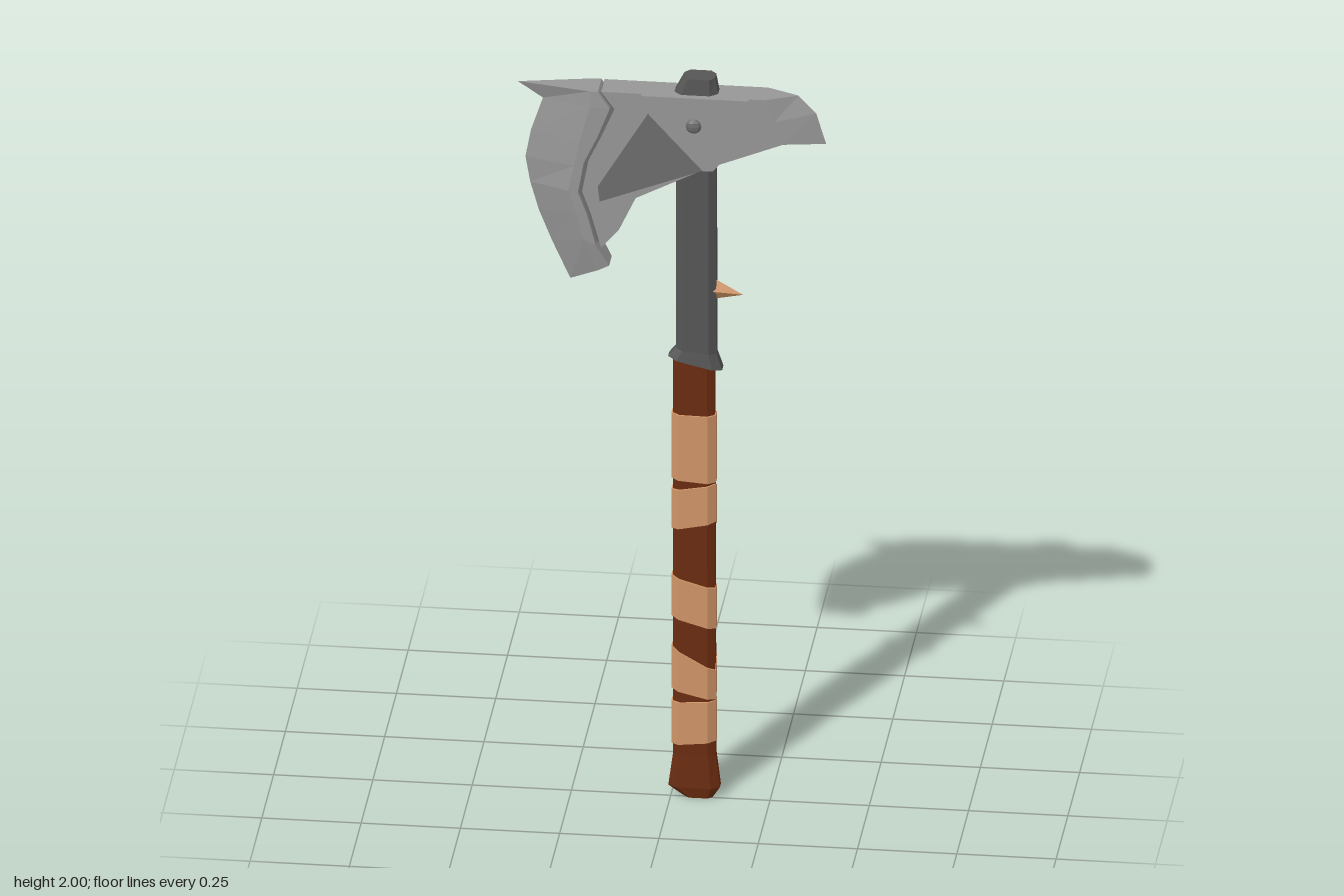
import * as THREE from 'three';

const CX = 0.058, CZ = -0.01; // axis of the shaft

const mat = (color) => new THREE.MeshStandardMaterial({ color, flatShading: true });

// Closed solid through a list of equally sized point rings, faces turned outward
function loft(rings) {
  const tris = [], n = rings[0].length;
  for (let r = 0; r < rings.length - 1; r++) {
    const a = rings[r], b = rings[r + 1];
    for (let i = 0; i < n; i++) {
      const j = (i + 1) % n;
      tris.push([a[i], b[i], a[j]], [a[j], b[i], b[j]]);
    }
  }
  const first = rings[0], last = rings[rings.length - 1];
  for (let i = 1; i < n - 1; i++) {
    tris.push([first[0], first[i], first[i + 1]], [last[0], last[i + 1], last[i]]);
  }
  const vec = (p) => new THREE.Vector3(...p);
  const o = vec(first[0]);
  let volume = 0;
  for (const [a, b, c] of tris) {
    volume += vec(a).sub(o).dot(vec(b).sub(o).cross(vec(c).sub(o)));
  }
  const pos = tris.flatMap(([a, b, c]) => (volume < 0 ? [a, c, b] : [a, b, c])).flat();
  const g = new THREE.BufferGeometry();
  g.setAttribute('position', new THREE.Float32BufferAttribute(pos, 3));
  g.computeVertexNormals();
  return g;
}

// Flattened octagonal section from x0 to x1; yAt gives the height of each corner
function section(x0, x1, b, yAt) {
  const c = (x0 + x1) / 2, a = (x1 - x0) / 2;
  const corners = [[1, 0.45], [0.66, 1], [-0.66, 1], [-1, 0.45],
    [-1, -0.45], [-0.66, -1], [0.66, -1], [1, -0.45]];
  return corners.map(([u, w]) => [c + u * a, yAt(u, w), CZ + w * b]);
}

// Flat plate from an outline, between two z depths
function plate(points, z0, z1) {
  const shape = new THREE.Shape(points.map(([x, y]) => new THREE.Vector2(x, y)));
  const g = new THREE.ExtrudeGeometry(shape, { depth: z1 - z0, bevelEnabled: false });
  return g.translate(0, 0, z0);
}

export function createModel() {
  const group = new THREE.Group();
  const wood = mat(0x6b2c10), leather = mat(0xcf9466), iron = mat(0x565656);
  const steel = mat(0x969696), darkSteel = mat(0x6c6c6c);
  const add = (name, geometry, material) => {
    const m = new THREE.Mesh(geometry, material);
    m.name = name;
    group.add(m);
    return m;
  };

  // Wooden grip with a flared pommel: y, left x, right x, half depth
  add('grip', loft([
    [0, 0.035, 0.105, 0.018], [0.03, -0.006, 0.124, 0.025],
    [0.12, 0.006, 0.113, 0.024], [1.23, 0.006, 0.11, 0.024],
  ].map(([y, x0, x1, b]) => section(x0, x1, b, () => y))), wood);

  // Leather wraps: top left, top right, bottom left, bottom right, rear tilt factor
  const wraps = [
    [1.065, 1.063, 0.885, 0.877, 1], [0.853, 0.873, 0.745, 0.768, 0.3],
    [0.615, 0.583, 0.503, 0.471, 1], [0.418, 0.355, 0.302, 0.275, 0.45],
    [0.265, 0.272, 0.148, 0.16, 0.3],
  ];
  wraps.forEach(([tl, tr, bl, br, k], i) => {
    const edge = (l, r) => (u, w) => l + (r - l) * (u + 1) / 2 * (w > 0 ? 1 : k);
    add('leatherWrap' + (i + 1), loft([
      section(0.002, 0.114, 0.029, edge(bl, br)),
      section(0.002, 0.114, 0.029, edge(tl, tr)),
    ]), leather);
  });

  // Iron shaft with a slanted flared socket and a tapered cap above the head
  add('ironShaft', loft([
    section(-0.006, 0.13, 0.031, (u) => 1.206 - 0.016 * u),
    section(0.013, 0.115, 0.028, (u) => 1.24 - 0.005 * u),
    section(0.013, 0.114, 0.028, () => 1.9),
    section(0.01, 0.12, 0.031, () => 1.957),
    section(0.032, 0.112, 0.029, () => 2),
  ]), iron);

  // Small thorn on the shaft
  const thorn = add('thorn', new THREE.ConeGeometry(0.03, 0.08, 4), leather);
  thorn.geometry.scale(1, 1, 0.6).rotateZ(-Math.PI / 2);
  thorn.position.set(0.142, 1.403, CZ + 0.002);
  thorn.geometry.translate(0, 0, 0);
  thorn.rotation.z = -0.16;

  // Head body
  add('headBody', plate([
    [0.24, 1.957], [0.286, 1.836], [0.09, 1.757], [-0.085, 1.667], [-0.127, 1.577],
    [-0.172, 1.524], [-0.197, 1.614], [-0.22, 1.678], [-0.205, 1.76],
    [-0.172, 1.83], [-0.138, 1.91], [-0.172, 1.957],
  ], CZ - 0.037, CZ + 0.037), steel);

  // Recessed core that joins body and blade
  add('headCore', plate([
    [-0.1, 1.95], [-0.1, 1.66], [-0.15, 1.57], [-0.18, 1.535], [-0.215, 1.57],
    [-0.25, 1.69], [-0.22, 1.82], [-0.19, 1.95],
  ], CZ - 0.027, CZ + 0.027), darkSteel);

  // Rear spike, narrowing to an upright edge
  const spikeRing = (pts, h) => [
    ...pts.map(([x, y]) => [x, y, CZ + h]),
    ...pts.slice().reverse().map(([x, y]) => [x, y, CZ - h]),
  ];
  add('rearSpike', loft([
    spikeRing([[0.24, 1.957], [0.263, 1.896], [0.286, 1.836]], 0.037),
    spikeRing([[0.32, 1.957], [0.365, 1.91], [0.39, 1.827]], 0.0008),
  ]), steel);

  // Blade rows: cutting edge x y, bevel x y, inner x y, half thickness
  add('blade', loft([
    [-0.386, 1.957, -0.2, 1.957, -0.18, 1.957, 0.038],
    [-0.323, 1.915, -0.2, 1.915, -0.15, 1.912, 0.041],
    [-0.353, 1.825, -0.225, 1.82, -0.182, 1.83, 0.041],
    [-0.367, 1.75, -0.24, 1.75, -0.215, 1.76, 0.041],
    [-0.355, 1.68, -0.255, 1.68, -0.23, 1.676, 0.041],
    [-0.333, 1.603, -0.235, 1.62, -0.207, 1.615, 0.041],
    [-0.3, 1.52, -0.215, 1.545, -0.185, 1.53, 0.039],
    [-0.254, 1.418, -0.18, 1.457, -0.153, 1.471, 0.028],
  ].map(([ex, ey, bx, by, ix, iy, h]) => [
    [ex, ey, CZ], [bx, by, CZ + h], [ix, iy, CZ + h], [ix, iy, CZ - h], [bx, by, CZ - h],
  ])), steel);

  // Front cheek plate, its darker lower wing and the rivet
  add('cheekPlate', plate([
    [-0.07, 1.957], [-0.05, 1.905], [0.085, 1.757], [0.11, 1.757], [0.17, 1.83], [0.2, 1.957],
  ], 0.02, 0.039), steel);
  add('cheekWing', plate([
    [-0.05, 1.91], [-0.18, 1.695], [-0.175, 1.655], [0.09, 1.757],
  ], 0.02, 0.033), darkSteel);
  const rivet = add('rivet', new THREE.SphereGeometry(0.02, 8, 6), darkSteel);
  rivet.scale.z = 0.45;
  rivet.position.set(0.062, 1.88, 0.039);

  return group;
}
